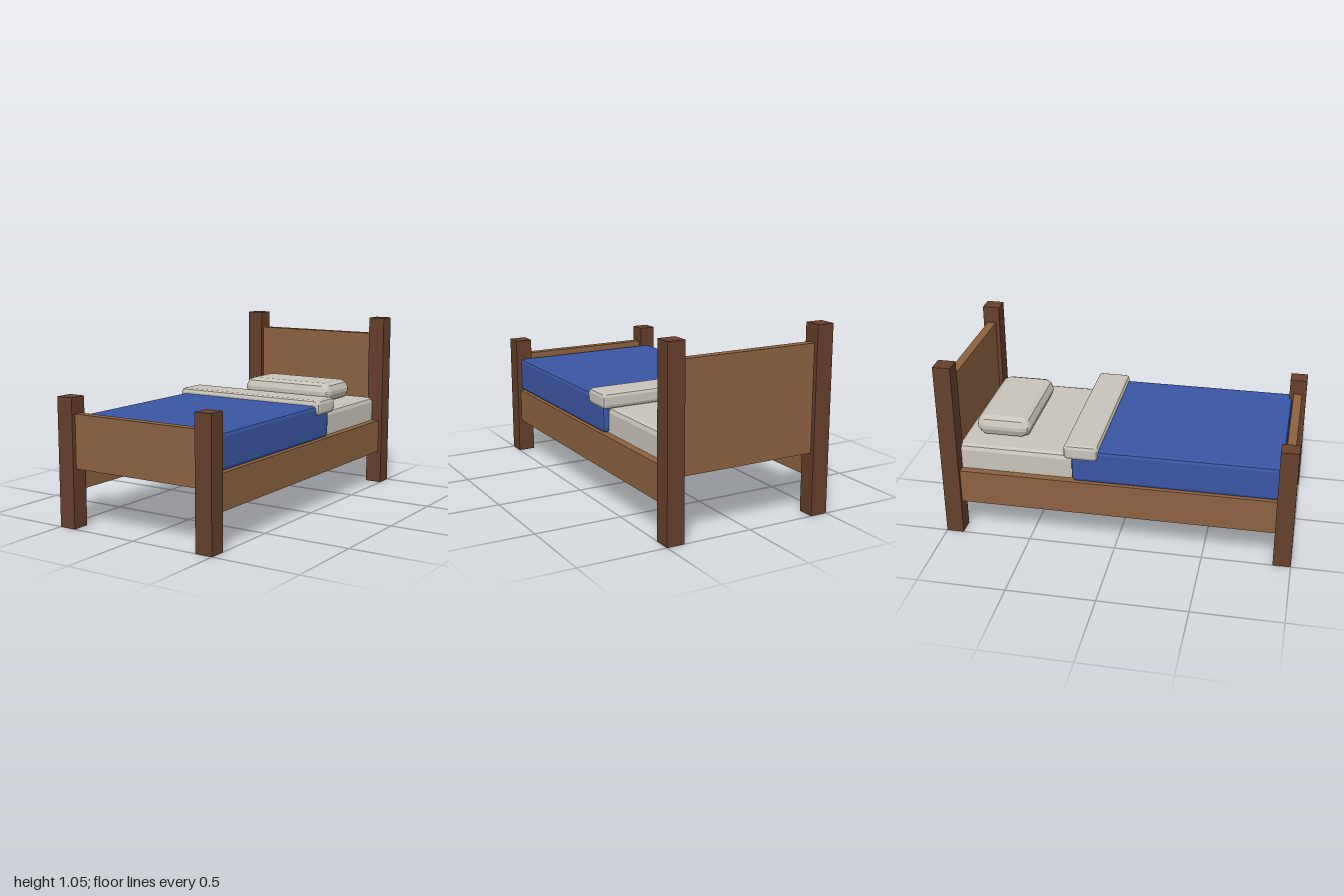
import * as THREE from 'three';
import { ConvexGeometry } from 'three/addons/geometries/ConvexGeometry.js';

const mat = (name, color, flatShading = false) => {
  const m = new THREE.MeshStandardMaterial({ color, flatShading });
  m.name = name;
  return m;
};

// Box given by its minimum and maximum corners
function block(min, max) {
  const g = new THREE.BoxGeometry(...max.map((v, i) => v - min[i]));
  return g.translate(...max.map((v, i) => (v + min[i]) / 2));
}

// Box with edges softened by two facets each
function softBlock(min, max, r) {
  const s = Math.SQRT1_2;
  const dirs = [[1, 0, 0], [0, 1, 0], [0, 0, 1], [s, s, 0], [s, 0, s], [0, s, s]];
  const points = [];
  for (const sx of [-1, 1]) for (const sy of [-1, 1]) for (const sz of [-1, 1]) {
    const sign = [sx, sy, sz];
    for (const d of dirs) {
      const p = sign.map((k, i) => (k > 0 ? max[i] : min[i]) + k * r * (d[i] - 1));
      points.push(new THREE.Vector3(...p));
    }
  }
  return new ConvexGeometry(points);
}

export function createModel() {
  const group = new THREE.Group();
  group.name = 'bed';
  const darkWood = mat('darkWood', 0x653f2b);
  const wood = mat('wood', 0x8d6240);
  const linen = mat('linen', 0xc9c4ba, true);
  const blue = mat('blueCloth', 0x3a56a4, true);

  const add = (name, geometry, material) => {
    const mesh = new THREE.Mesh(geometry, material);
    mesh.name = name;
    group.add(mesh);
  };

  // Corner posts and side rails
  for (const [side, s] of [['left', 1], ['right', -1]]) {
    const x0 = s * 0.45 - 0.05, x1 = s * 0.45 + 0.05;
    add(side + 'FootPost', block([x0, 0, 0.9], [x1, 0.72, 1]), darkWood);
    add(side + 'HeadPost', block([x0, 0, -1], [x1, 1.05, -0.9]), darkWood);
    add(side + 'Rail', block([s * 0.455 - 0.025, 0.2, -0.9], [s * 0.455 + 0.025, 0.4, 0.9]), wood);
  }

  // End boards
  add('headboard', block([-0.4, 0.35, -0.975], [0.4, 0.95, -0.925]), wood);
  add('footboard', block([-0.4, 0.33, 0.925], [0.4, 0.63, 0.975]), wood);

  // Bedding
  add('mattress', softBlock([-0.435, 0.34, -0.92], [0.435, 0.545, 0.91], 0.03), linen);
  add('blanket', softBlock([-0.47, 0.4, -0.25], [0.47, 0.6, 0.92], 0.02), blue);
  add('foldedSheet', softBlock([-0.488, 0.543, -0.29], [0.488, 0.632, -0.095], 0.022), linen);
  add('pillow', softBlock([-0.305, 0.54, -0.85], [0.305, 0.66, -0.532], 0.05), linen);

  return group;
}
